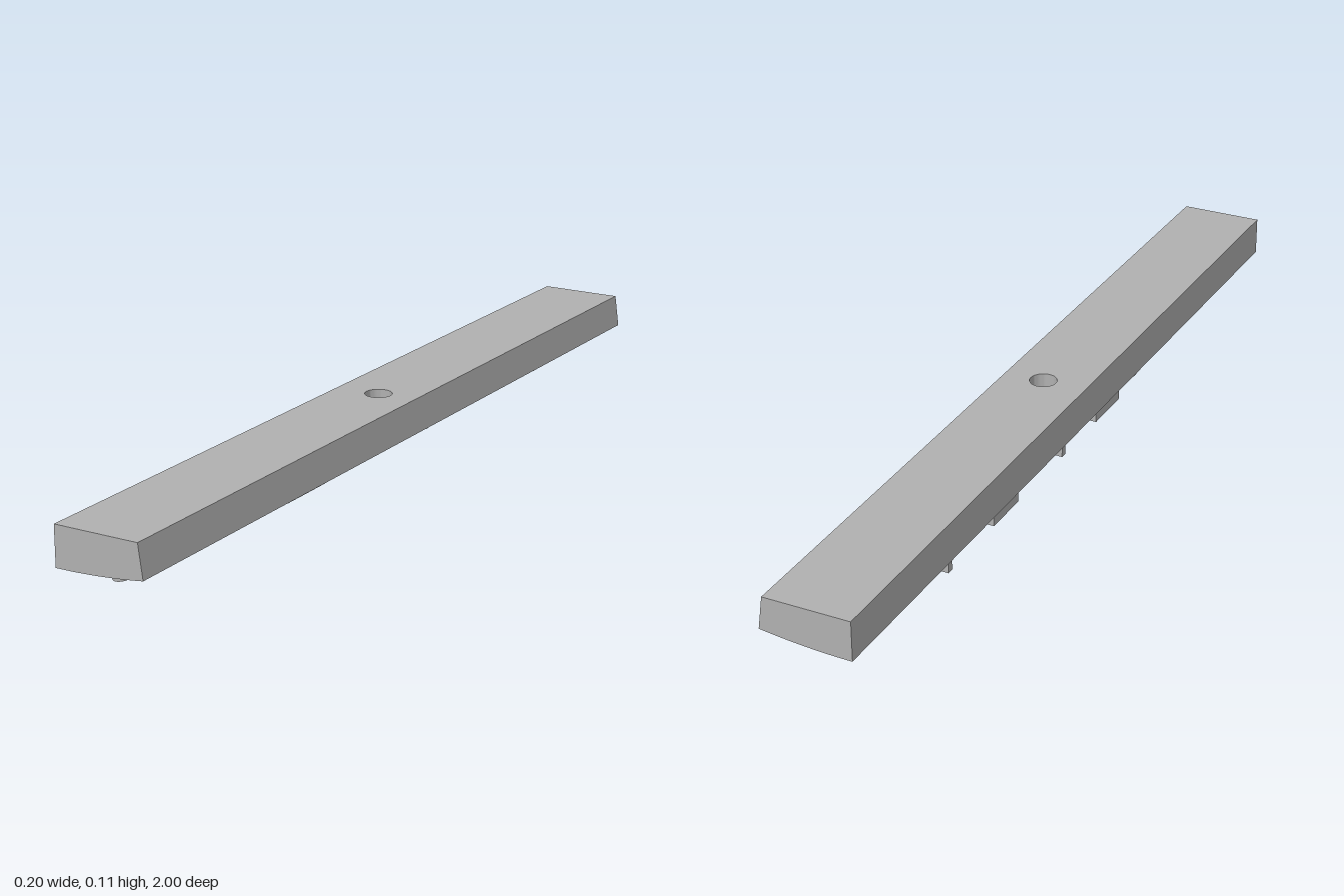
import * as THREE from 'three';
import { mergeGeometries, toCreasedNormals } from 'three/addons/utils/BufferGeometryUtils.js';

const TOP = 0.115, MID = 0.06;
// Height of the gently curved underside across the bar
const under = (x) => 0.028 + 0.014 * ((x + 0.1) / 0.2) ** 2;

// Extrude a plan shape (x, z) downwards, then set its upper and lower heights by rule
function slab(shape, upper, lower) {
  const g = new THREE.ExtrudeGeometry(shape, { depth: 1, bevelEnabled: false, curveSegments: 20 });
  g.rotateX(Math.PI / 2);
  const p = g.attributes.position;
  for (let i = 0; i < p.count; i++) {
    const x = p.getX(i);
    p.setY(i, p.getY(i) > -0.5 ? upper(x) : lower(x));
  }
  return g;
}

// Remove the hidden joint faces between body sections
function withoutJoints(g) {
  const p = g.attributes.position, kept = [];
  for (let i = 0; i < p.count; i += 3) {
    const joint = [MID, -MID].some((z) => [0, 1, 2].every((k) => Math.abs(p.getZ(i + k) - z) < 1e-5));
    if (!joint) for (let k = 0; k < 3; k++) kept.push(p.getX(i + k), p.getY(i + k), p.getZ(i + k));
  }
  return new THREE.BufferGeometry().setAttribute('position', new THREE.Float32BufferAttribute(kept, 3));
}

function bodyGeometry() {
  const xs = Array.from({ length: 17 }, (_, i) => -0.1 + i * 0.0125);

  // Long end sections from the bar's cross-section
  const profile = new THREE.Shape([
    ...xs.map((x) => new THREE.Vector2(x, under(x))),
    new THREE.Vector2(0.09, TOP), new THREE.Vector2(-0.1, TOP),
  ]);
  const ends = [-1, MID].map((z) =>
    new THREE.ExtrudeGeometry(profile, { depth: 1 - MID, bevelEnabled: false }).translate(0, 0, z));

  // Middle section with the vertical through-hole
  const plan = new THREE.Shape([
    ...xs.map((x) => new THREE.Vector2(x, -MID)),
    ...[...xs].reverse().map((x) => new THREE.Vector2(x, MID)),
  ]);
  plan.holes.push(new THREE.Path().absarc(0, 0, 0.03, 0, Math.PI * 2, true));
  const middle = slab(plan, () => TOP, under);
  const p = middle.attributes.position;
  for (let i = 0; i < p.count; i++) {
    if (p.getX(i) > 0.099 && p.getY(i) > 0.1) p.setX(i, 0.09);
  }
  return toCreasedNormals(mergeGeometries([...ends, middle].map(withoutJoints)), 0.5);
}

// Plan outlines for the raised pieces
function block(x, z, w, l) {
  return new THREE.Shape([[-1, -1], [1, -1], [1, 1], [-1, 1]].map(([a, b]) =>
    new THREE.Vector2(x + a * w / 2, z + b * l / 2)));
}
function arc(x, z, inner, outer, from, to) {
  const s = new THREE.Shape();
  s.absarc(x, z, outer, from, to, false);
  s.absarc(x, z, inner, to, from, true);
  return s;
}
function peg(x, z, r) {
  return new THREE.Shape().absarc(x, z, r, 0, Math.PI * 2, false);
}

export function createModel() {
  const model = new THREE.Group();
  const grey = new THREE.MeshStandardMaterial({ color: 0xb0b0b0 });
  grey.name = 'plain grey';

  const add = (name, geometry) => {
    const mesh = new THREE.Mesh(geometry, grey);
    mesh.name = name;
    model.add(mesh);
  };
  const addRaised = (name, shapes) => shapes.forEach((s) =>
    add(name, toCreasedNormals(slab(s, (x) => under(x) + 0.001, (x) => under(x) - 0.0275), 0.5)));

  add('barBody', bodyGeometry());

  // Small pegs and cross rib
  addRaised('endPeg', [peg(0, 0.935, 0.015), peg(0.005, -0.945, 0.015)]);
  addRaised('crossRib', [block(0, 0.68, 0.05, 0.018)]);

  // Long ribs near the low edge
  addRaised('longRib', [block(-0.085, 0.13, 0.018, 0.12), block(-0.085, -0.365, 0.018, 0.11)]);
  addRaised('middlePeg', [peg(-0.03, 0.055, 0.015)]);

  // Corner rib group with two studs
  addRaised('cornerRib', [block(0.04, 0.37, 0.02, 0.14), block(-0.025, 0.31, 0.11, 0.018)]);
  addRaised('stud', [peg(-0.005, 0.375, 0.016), peg(-0.05, 0.375, 0.016)]);

  // Two curved rib groups
  for (const z of [-0.125, -0.64]) {
    addRaised('curvedRib', [arc(0.01, z, 0.024, 0.04, -Math.PI * 0.95, Math.PI * 0.45)]);
    addRaised('shortRib', [block(-0.06, z + 0.03, 0.07, 0.016), block(-0.04, z - 0.045, 0.05, 0.018)]);
  }
  addRaised('stud', [peg(-0.045, -0.64, 0.014)]);

  return model;
}
